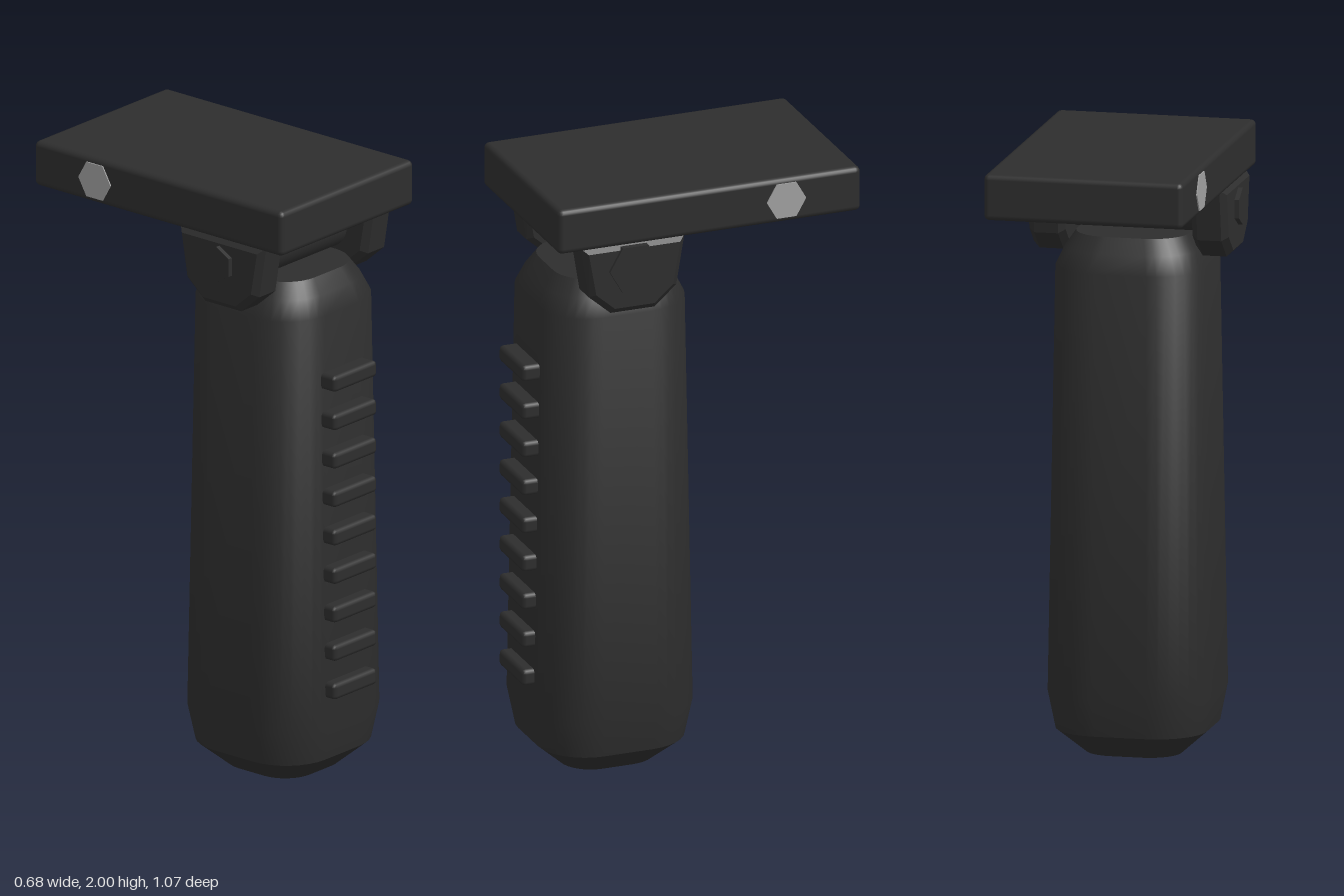
import * as THREE from 'three';
import { mergeVertices, toCreasedNormals } from 'three/addons/utils/BufferGeometryUtils.js';
import { RoundedBoxGeometry } from 'three/addons/geometries/RoundedBoxGeometry.js';

const GRIP_Z = 0.235, HINGE_Y = 1.77, HINGE_Z = 0.245;

// Rounded-square outline, counted from +z towards +x
function outline(half, radius, steps = 8) {
  const points = [], c = half - radius;
  for (let q = 0; q < 4; q++) {
    const a0 = q * Math.PI / 2;
    const cx = q < 2 ? c : -c, cz = q === 0 || q === 3 ? c : -c;
    for (let i = 0; i <= steps; i++) {
      const a = a0 + (i / steps) * Math.PI / 2;
      points.push([cx + radius * Math.sin(a), cz + radius * Math.cos(a)]);
    }
  }
  return points;
}

// Loft through rounded-square levels [y, half width], closed at both ends
function loft(levels, roundness) {
  const pos = [], index = [];
  const rings = levels.map(([y, h]) => outline(h, h * roundness).map(([x, z]) => [x, y, z]));
  const n = rings[0].length;
  rings.forEach((ring) => ring.forEach((p) => pos.push(...p)));
  for (let r = 0; r < rings.length - 1; r++) {
    for (let i = 0; i < n; i++) {
      const a = r * n + i, b = r * n + (i + 1) % n;
      index.push(a, b, b + n, a, b + n, a + n);
    }
  }
  const last = (rings.length - 1) * n;
  const low = pos.length / 3, high = low + 1;
  pos.push(0, levels[0][0], 0, 0, levels[levels.length - 1][0], 0);
  for (let i = 0; i < n; i++) {
    const j = (i + 1) % n;
    index.push(low, j, i, high, last + i, last + j);
  }
  const geo = new THREE.BufferGeometry();
  geo.setAttribute('position', new THREE.Float32BufferAttribute(pos, 3));
  geo.setIndex(index);
  return toCreasedNormals(mergeVertices(geo), 0.6);
}

// Prism lying along x; turn rotates its corners about the axis
function prismX(radius, length, sides, turn = 0) {
  const geo = new THREE.CylinderGeometry(radius, radius, length, sides);
  geo.rotateY(turn).rotateZ(Math.PI / 2);
  return toCreasedNormals(geo, 0.6);
}

export function createModel() {
  const model = new THREE.Group();
  model.name = 'foldingGrip';
  const black = new THREE.MeshStandardMaterial({ color: 0x2d2d2d });
  black.name = 'black polymer';
  const steel = new THREE.MeshStandardMaterial({ color: 0xa0a0a0 });
  steel.name = 'light steel';

  const add = (name, geo, mat, x, y, z) => {
    const mesh = new THREE.Mesh(geo, mat);
    mesh.name = name;
    mesh.position.set(x, y, z);
    model.add(mesh);
    return mesh;
  };

  // Handle
  const levels = [[0, 0.155], [0.08, 0.245], [0.2, 0.268], [1.58, 0.245], [1.64, 0.217], [1.69, 0.183]];
  add('handle', loft(levels, 0.66), black, 0, 0, GRIP_Z);

  // Finger ribs on the front
  const ribGeo = new RoundedBoxGeometry(0.21, 0.055, 0.1, 1, 0.014);
  for (let i = 0; i < 9; i++) add('fingerRib', ribGeo, black, 0, 0.325 + i * 0.13, 0.49);

  // Mounting plate with a locating block underneath
  add('mountingPlate', new RoundedBoxGeometry(0.65, 0.15, 1.035, 2, 0.018), black, 0, 1.925, -0.0125);
  add('locatingBlock', new RoundedBoxGeometry(0.2, 0.06, 0.21, 1, 0.012), black, 0, 1.832, -0.115);

  // Cross bolt through the plate, showing a hexagon on each side
  add('crossBolt', prismX(0.067, 0.658, 6), steel, 0, 1.925, -0.273);

  // Hinge barrel and pin
  add('hingeBarrel', prismX(0.085, 0.4, 32), black, 0, HINGE_Y, HINGE_Z);
  add('hingePin', prismX(0.045, 0.6, 24), black, 0, HINGE_Y, HINGE_Z);

  // Hinge lugs: tapered profile in z and y, with bevelled edges
  const half = [[0.178, 0.085], [0.15, -0.085], [0.075, -0.15]];
  const corners = [...half.map(([z, y]) => [-z, y]), ...half.map(([z, y]) => [z, y]).reverse()];
  const profile = new THREE.Shape(corners.map(([z, y]) => new THREE.Vector2(z, y)));
  const bevel = 0.02, thick = 0.118;
  const lugGeo = new THREE.ExtrudeGeometry(profile, {
    depth: thick - 2 * bevel, bevelThickness: bevel, bevelSize: bevel, bevelOffset: -bevel, bevelSegments: 1,
  });
  lugGeo.translate(0, 0, -(thick - 2 * bevel) / 2).rotateY(-Math.PI / 2);
  for (const side of [-1, 1]) {
    add(side > 0 ? 'leftLug' : 'rightLug', lugGeo, black, side * 0.266, HINGE_Y, HINGE_Z);
  }

  // Wide bolt head on one side, small nut on the other
  add('boltHead', prismX(0.088, 0.03, 6), black, 0.32, HINGE_Y, HINGE_Z);
  add('hingeNut', prismX(0.06, 0.03, 6, Math.PI / 6), black, -0.325, HINGE_Y, HINGE_Z);

  return model;
}
